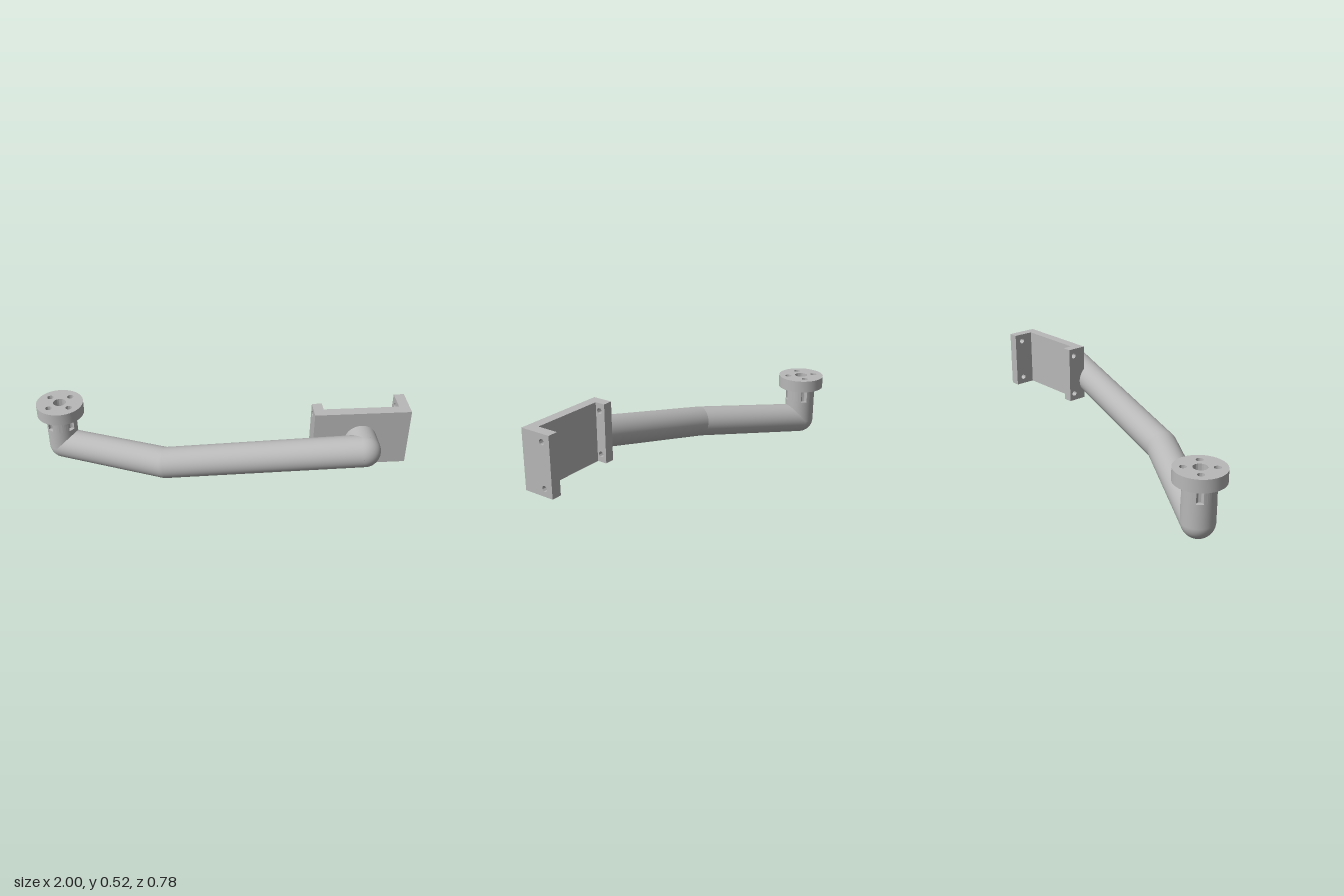
import * as THREE from 'three';
import { toCreasedNormals } from 'three/addons/utils/BufferGeometryUtils.js';

const TUBE_R = 0.085;
const BOLT_R = 0.018, BOLT_D = 0.079, BORE_R = 0.036;

export function createModel() {
  const root = new THREE.Group();
  root.name = 'bracketArm';
  const metal = new THREE.MeshStandardMaterial({ color: 0xb8b8b8 });
  metal.name = 'grey metal';

  const add = (geometry, name, parent = root) => {
    const mesh = new THREE.Mesh(geometry, metal);
    mesh.name = name;
    parent.add(mesh);
    return mesh;
  };
  const circleHole = (shape, x, y, r) => {
    const path = new THREE.Path();
    path.absarc(x, y, r, 0, Math.PI * 2, true);
    shape.holes.push(path);
  };
  const extrude = (shape, depth) =>
    toCreasedNormals(new THREE.ExtrudeGeometry(shape, { depth, bevelEnabled: false, curveSegments: 32 }), 0.6);

  // Straight tube between two points
  const tube = (a, b, name) => {
    const dir = b.clone().sub(a);
    const mesh = add(new THREE.CylinderGeometry(TUBE_R, TUBE_R, dir.length(), 48), name);
    mesh.position.copy(a).add(b).multiplyScalar(0.5);
    mesh.quaternion.setFromUnitVectors(new THREE.Vector3(0, 1, 0), dir.normalize());
  };

  // Arm: stem, two sloping tubes and a short stub into the plate
  const foot = new THREE.Vector3(-0.869, 0.086, -0.258);
  const bend = new THREE.Vector3(-0.285, 0.17, 0.085);
  const elbow = new THREE.Vector3(0.744, 0.362, 0.304);
  const slotFloor = 0.213, stemTop = 0.295;
  tube(foot, new THREE.Vector3(foot.x, slotFloor, foot.z), 'lowerStem');
  tube(foot, bend, 'shortArm');
  tube(bend, elbow, 'longArm');
  tube(elbow, new THREE.Vector3(elbow.x, elbow.y, 0.19), 'plateStub');
  for (const [p, name] of [[foot, 'footJoint'], [bend, 'bendJoint'], [elbow, 'elbowJoint']]) {
    add(new THREE.SphereGeometry(TUBE_R, 48, 32), name).position.copy(p);
  }

  // Upper stem, notched by the four bolt holes and bored in the middle
  const half = Math.acos((TUBE_R ** 2 + BOLT_D ** 2 - BOLT_R ** 2) / (2 * TUBE_R * BOLT_D));
  const stem = new THREE.Shape();
  for (let i = 0; i < 4; i++) {
    const a = Math.PI / 4 + i * Math.PI / 2;
    const cx = Math.cos(a) * BOLT_D, cy = Math.sin(a) * BOLT_D;
    const toRim = (t) => Math.atan2(Math.sin(t) * TUBE_R - cy, Math.cos(t) * TUBE_R - cx);
    stem.absarc(0, 0, TUBE_R, a - Math.PI / 2 + half, a - half, false);
    stem.absarc(cx, cy, BOLT_R, toRim(a - half), toRim(a + half), true);
  }
  circleHole(stem, 0, 0, BORE_R);
  const upperStem = add(extrude(stem, stemTop - slotFloor).rotateX(-Math.PI / 2), 'upperStem');
  upperStem.position.set(foot.x, slotFloor, foot.z);

  // Round mounting flange
  const disc = new THREE.Shape();
  disc.absarc(0, 0, 0.131, 0, Math.PI * 2, false);
  circleHole(disc, 0, 0, BORE_R);
  for (let i = 0; i < 4; i++) {
    const a = Math.PI / 4 + i * Math.PI / 2;
    circleHole(disc, Math.cos(a) * BOLT_D, Math.sin(a) * BOLT_D, BOLT_R);
  }
  const flange = add(extrude(disc, 0.067).rotateX(-Math.PI / 2), 'roundFlange');
  flange.position.set(foot.x, stemTop, foot.z);

  // U-shaped bracket: plate with two drilled side walls
  const bracket = new THREE.Group();
  bracket.name = 'bracket';
  root.add(bracket);
  const y0 = 0.203, y1 = 0.522, front = 0.2;
  add(new THREE.BoxGeometry(0.402, y1 - y0, 0.055), 'backPlate', bracket)
    .position.set(0.746, (y0 + y1) / 2, front - 0.0275);
  const wall = (x, width, back, holeZ, name) => {
    const s = new THREE.Shape();
    s.moveTo(-front, y0);
    s.lineTo(-back, y0);
    s.lineTo(-back, y1);
    s.lineTo(-front, y1);
    s.closePath();
    for (const y of [0.245, 0.48]) circleHole(s, -holeZ, y, 0.015);
    add(extrude(s, width).rotateY(Math.PI / 2), name, bracket).position.x = x;
  };
  wall(0.945, 0.055, 0.028, 0.075, 'leftWall');
  wall(0.494, 0.053, 0.09, 0.122, 'rightWall');

  return root;
}
